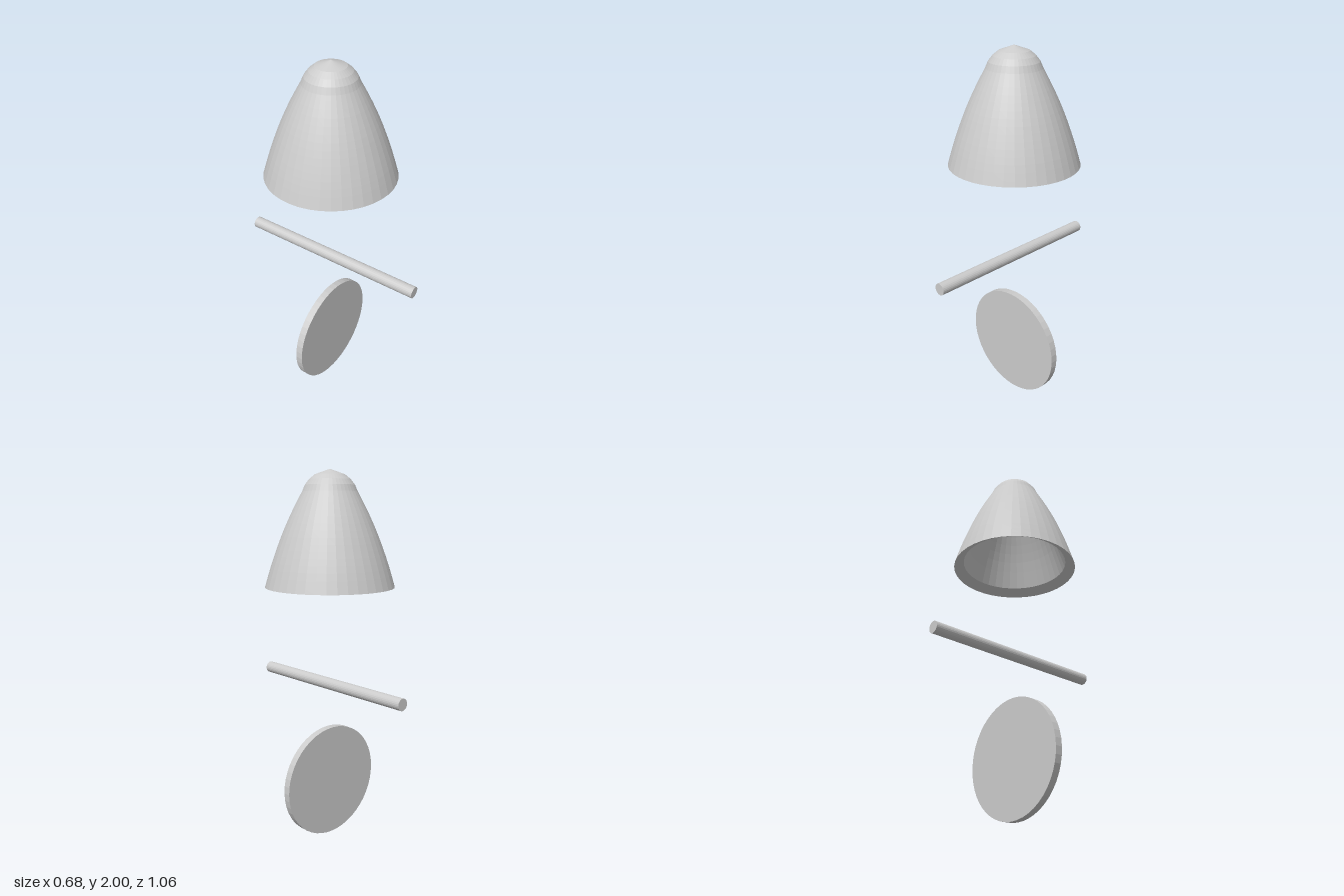
import * as THREE from 'three';

const material = new THREE.MeshStandardMaterial({ color: 0xcccccc, flatShading: true });

// Samples a smooth curve through [radius, height] pairs
function profile(pairs, steps) {
  return new THREE.SplineCurve(pairs.map(([r, y]) => new THREE.Vector2(r, y))).getPoints(steps);
}

function addPart(group, name, geometry, y) {
  const mesh = new THREE.Mesh(geometry, material);
  mesh.name = name;
  mesh.position.y = y;
  group.add(mesh);
}

// Cylinder lying along z
function rod(radius, length, sides) {
  return new THREE.CylinderGeometry(radius, radius, length, sides).rotateX(Math.PI / 2);
}

export function createModel() {
  const model = new THREE.Group();
  model.name = 'explodedBell';

  // Hollow shell: cavity from its top down, bevelled rim, flared wall, rounded crown
  const inner = profile([[0.06, 1.925], [0.11, 1.87], [0.165, 1.77], [0.23, 1.61], [0.289, 1.434]], 14);
  const wall = profile([[0.342, 1.4], [0.312, 1.5], [0.277, 1.6], [0.237, 1.7], [0.19, 1.8], [0.142, 1.89]], 15);
  const crown = [[0.128, 1.922], [0.106, 1.95], [0.077, 1.973], [0, 2]]
    .map(([r, y]) => new THREE.Vector2(r, y));
  const shell = [new THREE.Vector2(0, 1.94), ...inner, ...wall, ...crown];
  addPart(model, 'bellShell', new THREE.LatheGeometry(shell, 40), 0);

  // Pin through the middle and the round plate below it
  addPart(model, 'crossPin', rod(0.032, 1.064, 24), 0.868);
  addPart(model, 'roundPlate', rod(0.311, 0.04, 48), 0.311);

  return model;
}
